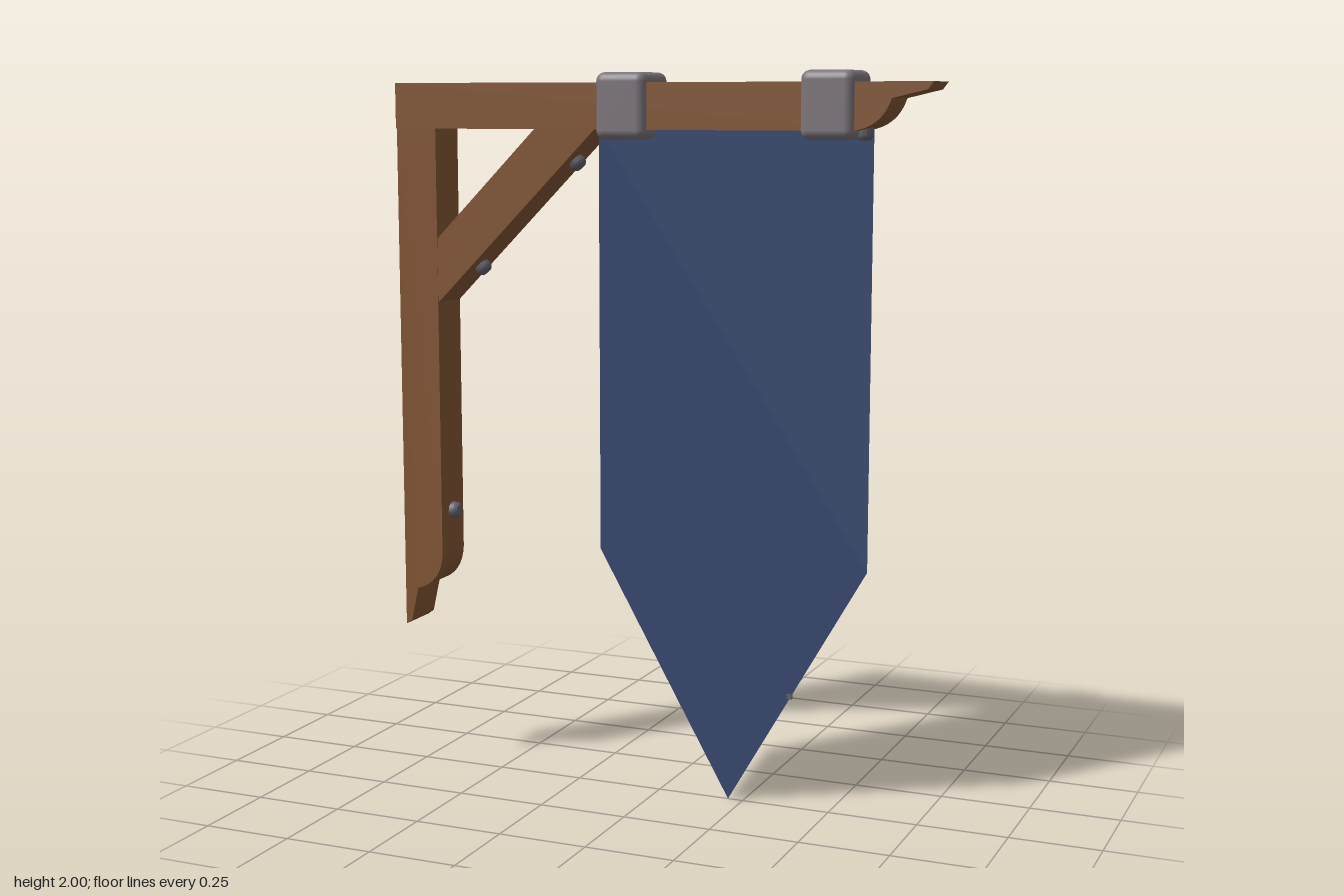
import * as THREE from 'three';
import { toCreasedNormals } from 'three/addons/utils/BufferGeometryUtils.js';
import { RoundedBoxGeometry } from 'three/addons/geometries/RoundedBoxGeometry.js';

export function createModel() {
  const model = new THREE.Group();
  model.name = 'hangingBanner';

  const material = (name, color, side = THREE.FrontSide) => {
    const m = new THREE.MeshStandardMaterial({ color, side });
    m.name = name;
    return m;
  };
  const wood = material('brown wood', 0x835634);
  const cloth = material('navy cloth', 0x35476f, THREE.DoubleSide);
  const iron = material('grey iron', 0x7c757b);
  const steel = material('dark steel', 0x62616a);

  const add = (name, geometry, mat) => {
    const mesh = new THREE.Mesh(geometry, mat);
    mesh.name = name;
    model.add(mesh);
    return mesh;
  };

  // Timber: an outline in x/y extruded from zBack to zFront
  const timber = (name, shape, zBack, zFront) => {
    const g = new THREE.ExtrudeGeometry(shape, { depth: zFront - zBack, bevelEnabled: false, curveSegments: 8 });
    g.translate(0, 0, zBack);
    add(name, toCreasedNormals(g, 0.5), wood);
  };

  // Horizontal beam with a carved tip
  const beam = new THREE.Shape();
  beam.moveTo(-0.775, 1.97);
  beam.lineTo(-0.775, 1.845);
  beam.lineTo(0.56, 1.845);
  beam.quadraticCurveTo(0.64, 1.855, 0.664, 1.928);
  beam.lineTo(0.758, 1.95);
  beam.lineTo(0.773, 1.97);
  timber('beam', beam, -0.077, 0.064);

  // Upright post with a carved foot
  const post = new THREE.Shape();
  post.moveTo(-0.772, 1.85);
  post.lineTo(-0.772, 0.42);
  post.lineTo(-0.754, 0.433);
  post.lineTo(-0.732, 0.53);
  post.quadraticCurveTo(-0.655, 0.55, -0.65, 0.635);
  post.lineTo(-0.65, 1.85);
  timber('post', post, -0.064, 0.064);

  // Diagonal brace, its ends let into the post and beam
  const brace = new THREE.Shape();
  brace.moveTo(-0.66, 1.35);
  brace.lineTo(-0.155, 1.855);
  brace.lineTo(-0.335, 1.855);
  brace.lineTo(-0.66, 1.53);
  timber('brace', brace, -0.063, 0.063);

  // Pointed cloth
  const banner = new THREE.Shape();
  banner.moveTo(-0.18, 1.85);
  banner.lineTo(-0.18, 0.68);
  banner.lineTo(0.207, 0);
  banner.lineTo(0.6, 0.68);
  banner.lineTo(0.6, 1.85);
  add('banner', new THREE.ShapeGeometry(banner), cloth);

  // Iron clamps around the beam
  for (const [x, y, depth] of [[-0.083, 1.908, 0.178], [0.494, 1.911, 0.17]]) {
    const clamp = add('clamp', new RoundedBoxGeometry(0.145, 0.178, depth, 3, 0.024), iron);
    clamp.position.set(x, y, -0.002);
  }

  // Domed bolt heads, pointing along (dx, dy)
  const head = new THREE.LatheGeometry([
    [0, -0.01], [0.024, -0.01], [0.024, 0.014], [0.017, 0.024], [0, 0.026],
  ].map(([r, h]) => new THREE.Vector2(r, h)), 12);
  const boltGeometry = toCreasedNormals(head, 0.6);
  const bolts = [
    [-0.25, 1.76, 1, -1], [-0.545, 1.465, 1, -1], [-0.65, 0.755, 1, 0], [0.575, 1.845, 0, -1],
  ];
  for (const [x, y, dx, dy] of bolts) {
    const bolt = add('bolt', boltGeometry, steel);
    bolt.position.set(x, y, 0);
    bolt.rotation.z = Math.atan2(dy, dx) - Math.PI / 2;
  }

  // Tiny stud on the cloth's lower edge
  const stud = add('stud', new THREE.BoxGeometry(0.014, 0.014, 0.008), steel);
  stud.position.set(0.385, 0.315, 0);

  return model;
}
